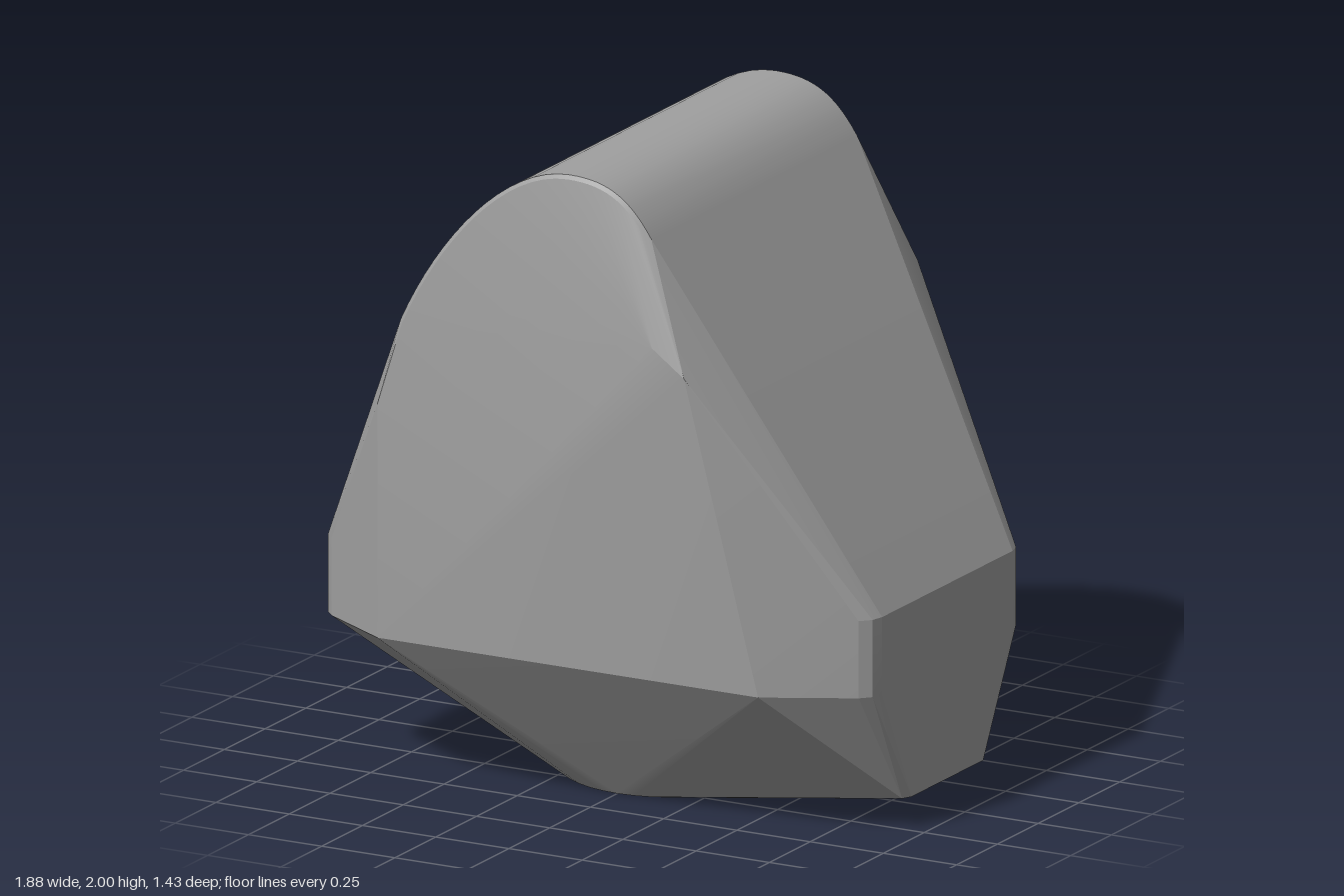
import * as THREE from 'three';
import { ConvexGeometry } from 'three/addons/geometries/ConvexGeometry.js';
import { toCreasedNormals } from 'three/addons/utils/BufferGeometryUtils.js';

export function createModel() {
  const group = new THREE.Group();
  group.name = 'boulder';
  const stone = new THREE.MeshStandardMaterial({ color: 0xa0a0a0 });
  stone.name = 'stone grey';

  const points = [];
  // adds a corner on the front and its mirror on the back
  const pair = (x, y, z) => points.push(new THREE.Vector3(x, y, z), new THREE.Vector3(x, y, -z));

  // rounded crest running front to back, with a fine bevel at each end
  const v = (x, y) => new THREE.Vector2(x, y);
  const crest = [
    ...new THREE.CubicBezierCurve(v(-0.575, 1.47), v(-0.45, 1.74), v(-0.22, 2), v(0, 2)).getPoints(16),
    ...new THREE.CubicBezierCurve(v(0, 2), v(0.12, 2), v(0.2, 1.965), v(0.28, 1.84)).getPoints(14).slice(1),
  ];
  for (const p of crest) {
    pair(p.x, p.y, 0.63);
    pair(p.x * 0.985, p.y - 0.012, 0.64);
  }

  // faceted front and back
  pair(-0.65, 1.2, 0.637);
  pair(-0.65, 0.47, 0.64);
  pair(0.65, 0.47, 0.64);
  pair(0.33, 1.53, 0.717);
  pair(0.44, 1.45, 0.717);

  // sides with softened vertical corners
  for (const [x, z] of [[0.94, 0.4], [0.93, 0.44], [0.9, 0.472]]) {
    pair(-x, 0.7, z);
    pair(-x, 0.46, z);
    pair(x, 0.7, z);
    pair(x, 0.46, z);
  }
  pair(0.94, 0.095, 0.22);
  pair(0.925, 0.095, 0.25);

  // round foot
  for (let i = 0; i < 40; i++) {
    const a = (i / 40) * Math.PI * 2;
    points.push(new THREE.Vector3(0.335 * Math.cos(a), 0, 0.335 * Math.sin(a)));
  }

  const geometry = toCreasedNormals(new ConvexGeometry(points), 0.16);
  const body = new THREE.Mesh(geometry, stone);
  body.name = 'boulderBody';
  group.add(body);
  return group;
}
